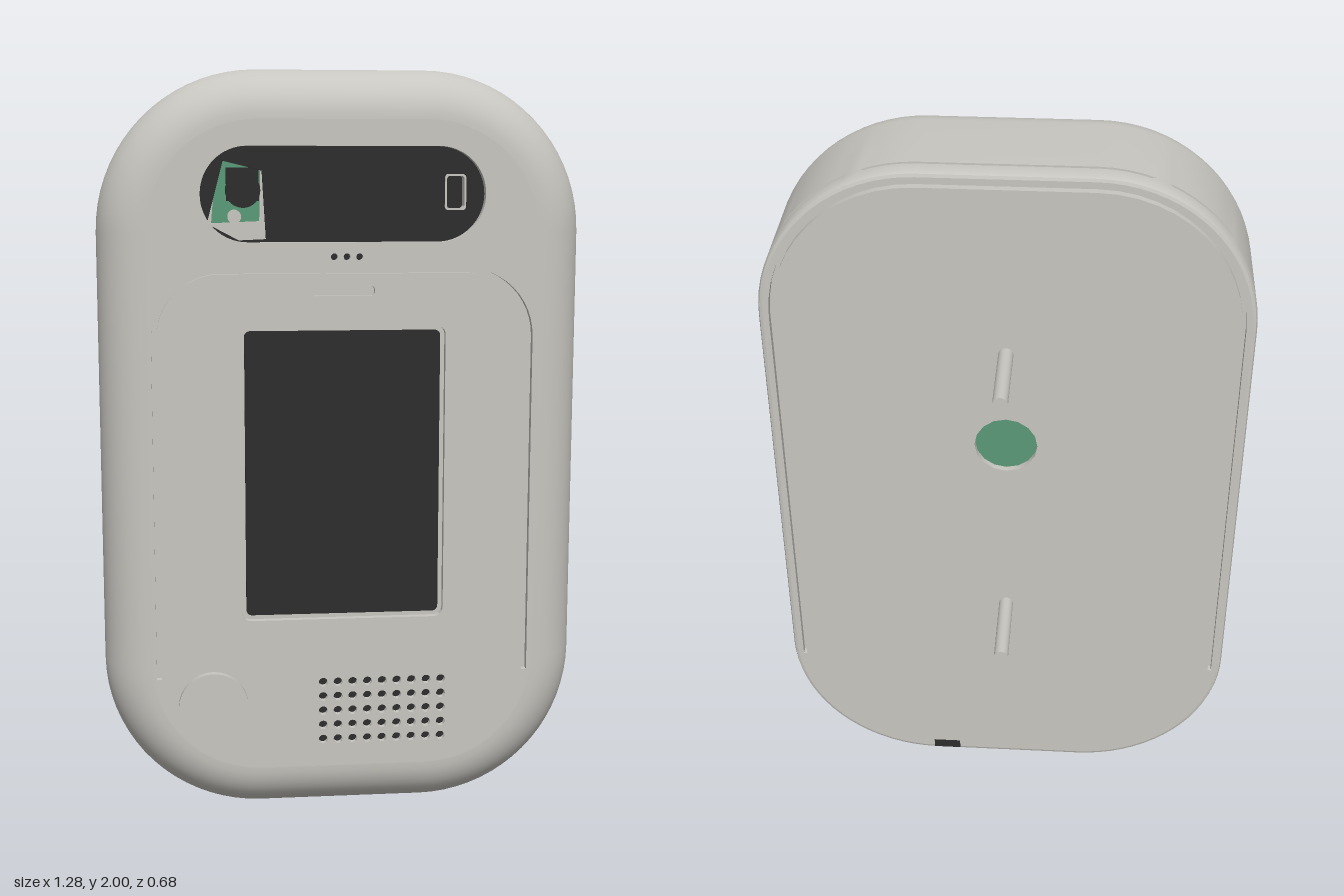
import * as THREE from 'three';
import { toCreasedNormals } from 'three/addons/utils/BufferGeometryUtils.js';

const mat = (name, color) => {
  const m = new THREE.MeshStandardMaterial({ color });
  m.name = name;
  return m;
};

// Body outline: rounded rectangle with 5 degree corner steps
const CX = 0.22, YLOW = 0.435, YHIGH = 1.58, R = 0.42, STEPS = 18;
const corners = [[CX, YHIGH], [-CX, YHIGH], [-CX, YLOW], [CX, YLOW]];

function ring(inset, grooveDepth = 0) {
  const pts = [];
  corners.forEach(([cx, cy], q) => {
    for (let s = 0; s <= STEPS; s++) {
      const local = (q % 2 ? STEPS - s : s) * 5; // 90 = top or bottom, 0 = side
      const inSlot = q < 2 ? local >= 75 || (local >= 40 && local <= 60) : local >= 40 && local <= 80;
      const r = R - inset - (inSlot ? grooveDepth : 0);
      const a = (q + s / STEPS) * Math.PI / 2;
      pts.push(new THREE.Vector2(cx + r * Math.cos(a), cy + r * Math.sin(a)));
    }
  });
  return pts;
}

// Side wall lofted from back to front; two flat strips are left open for vents
function shellGeometry() {
  const sections = [[-0.11, 0.012], [-0.107, 0.004], [-0.098, 0], [-0.06, 0], [-0.06, 0, 0.014],
    [-0.05, 0, 0.014], [-0.05, 0]];
  const ventSection = sections.length - 1;
  const fillet = 0.13;
  for (let i = 0; i <= 12; i++) {
    const a = i / 12 * Math.PI / 2;
    sections.push([0.19 + fillet * Math.sin(a), fillet * (1 - Math.cos(a))]);
  }
  const rings = sections.map(([z, inset, g]) => ring(inset, g).map(p => [p.x, p.y, z]));
  const n = rings[0].length, pos = [];
  const leftStrip = 2 * STEPS + 1, bottomStrip = 3 * STEPS + 2;
  for (let k = 0; k < rings.length - 1; k++) {
    for (let i = 0; i < n; i++) {
      if (k === ventSection && (i === leftStrip || i === bottomStrip)) continue;
      const j = (i + 1) % n;
      const a = rings[k][i], b = rings[k][j], c = rings[k + 1][j], d = rings[k + 1][i];
      pos.push(...a, ...b, ...c, ...a, ...c, ...d);
    }
  }
  const g = new THREE.BufferGeometry();
  g.setAttribute('position', new THREE.Float32BufferAttribute(pos, 3));
  return toCreasedNormals(g, 0.6);
}

// Rounded rectangle path centred on x, y
function roundRect(x, y, w, h, r, Type = THREE.Path) {
  const p = new Type(), a = w / 2 - r, b = h / 2 - r;
  p.absarc(x + a, y + b, r, 0, Math.PI / 2);
  p.absarc(x - a, y + b, r, Math.PI / 2, Math.PI);
  p.absarc(x - a, y - b, r, Math.PI, Math.PI * 1.5);
  p.absarc(x + a, y - b, r, Math.PI * 1.5, Math.PI * 2);
  p.closePath();
  return p;
}

const circle = (x, y, r) => new THREE.Path().absarc(x, y, r, 0, Math.PI * 2);

// Thin arch-shaped groove outline
function archGroove(x, top, bottom, r, width) {
  const arch = d => {
    const pts = [new THREE.Vector2(-x + d, bottom)];
    for (let i = 0; i <= 24; i++) {
      const a = Math.PI * (1 - i / 24);
      const side = i < 12 ? -1 : 1;
      if (i === 12) pts.push(new THREE.Vector2(-(x - r), top - d));
      pts.push(new THREE.Vector2(side * (x - r) + (r - d) * Math.cos(a), top - r + (r - d) * Math.sin(a)));
    }
    pts.push(new THREE.Vector2(x - d, bottom));
    return pts;
  };
  return new THREE.Path([...arch(0), ...arch(width).reverse()]);
}

const poly = pts => pts.map(p => new THREE.Vector2(...p));

export function createModel() {
  const model = new THREE.Group();
  const shell = mat('warm grey plastic', 0xc8c6c0);
  const black = mat('black panel', 0x2d2d2d);
  const green = mat('green circuit board', 0x5a9a78);

  const add = (name, geometry, material, x = 0, y = 0, z = 0) => {
    const m = new THREE.Mesh(geometry, material);
    m.name = name;
    m.position.set(x, y, z);
    model.add(m);
    return m;
  };
  const plate = (name, shape, holes, z, depth, material) => {
    shape.holes.push(...holes);
    const g = new THREE.ExtrudeGeometry(shape, { depth, bevelEnabled: false, curveSegments: 8 });
    return add(name, toCreasedNormals(g, 0.6), material, 0, 0, z);
  };
  const rod = (name, r, length, x, y, z, material) => {
    const m = add(name, new THREE.CylinderGeometry(r, r, length, 32), material, x, y, z);
    m.rotation.x = Math.PI / 2;
    return m;
  };

  add('shell', shellGeometry(), shell);

  // Front face with all its openings
  const pill = () => roundRect(0, 1.68, 0.74, 0.245, 0.122);
  const openings = [pill(), roundRect(-0.002, 0.948, 0.54, 0.785, 0.025),
    archGroove(0.5, 1.49, 0.4, 0.18, 0.013), roundRect(-0.002, 1.432, 0.165, 0.026, 0.01)];
  for (let i = -1; i <= 1; i++) openings.push(circle(0.008 + i * 0.033, 1.52, 0.009));
  for (let c = 0; c < 9; c++)
    for (let r = 0; r < 5; r++) openings.push(circle(-0.055 + c * 0.04, 0.22 + r * 0.04, 0.012));
  plate('frontFace', new THREE.Shape(ring(0.13)), openings, 0.3, 0.02, shell);
  plate('frontBacking', new THREE.Shape(ring(0.13)), [pill()], 0.295, 0.005, shell);
  plate('screen', roundRect(-0.002, 0.948, 0.515, 0.76, 0.015, THREE.Shape), [], 0.3, 0.008, black);
  plate('speakerBacking', roundRect(0.105, 0.3, 0.38, 0.22, 0.02, THREE.Shape), [], 0.3, 0.002, black);
  plate('microphoneBacking', roundRect(0.008, 1.52, 0.1, 0.03, 0.01, THREE.Shape), [], 0.3, 0.002, black);
  rod('button', 0.093, 0.03, -0.35, 0.325, 0.325, shell);

  // Dark camera window with a lens opening and a sensor opening
  const lensOpening = new THREE.Path(poly([[-0.31, 1.765], [-0.21, 1.74], [-0.2, 1.565], [-0.27, 1.562], [-0.352, 1.605]]));
  plate('cameraWindow', roundRect(0, 1.68, 0.76, 0.265, 0.13, THREE.Shape),
    [lensOpening, roundRect(0.295, 1.685, 0.058, 0.095, 0.01)], 0.285, 0.01, black);
  plate('sensorSleeve', roundRect(0.295, 1.685, 0.056, 0.093, 0.01, THREE.Shape),
    [roundRect(0.295, 1.685, 0.046, 0.083, 0.008)], 0.255, 0.038, shell);
  add('sensor', new THREE.BoxGeometry(0.07, 0.11, 0.01), black, 0.295, 1.685, 0.252);

  // Camera board behind the lens opening
  add('cameraBoard', new THREE.BoxGeometry(0.34, 0.32, 0.01), green, -0.27, 1.67, 0.235);
  add('cameraMount', new THREE.BoxGeometry(0.085, 0.085, 0.012), black, -0.258, 1.705, 0.245);
  rod('cameraLens', 0.045, 0.035, -0.258, 1.69, 0.262, black);
  plate('cameraBracket', new THREE.Shape(poly([[-0.4, 1.54], [-0.17, 1.54], [-0.17, 1.78], [-0.21, 1.78],
    [-0.215, 1.61], [-0.34, 1.605], [-0.325, 1.78], [-0.4, 1.78]])), [], 0.24, 0.01, shell);
  rod('cameraScrew', 0.018, 0.012, -0.28, 1.622, 0.248, shell);

  // Back face with rim groove and inspection hole
  plate('backFace', new THREE.Shape(ring(0.012)),
    [archGroove(0.612, 1.97, 0.4, 0.39, 0.01), circle(0, 1.2, 0.085)], -0.11, 0.02, shell);
  plate('backBacking', new THREE.Shape(ring(0.016)), [], -0.09, 0.005, shell);
  rod('inspectionBoard', 0.09, 0.006, 0, 1.2, -0.089, green);
  for (const y of [0.635, 1.49]) rod('mountingPin', 0.02, 0.23, 0, y, -0.225, shell);
  add('cableNotch', new THREE.BoxGeometry(0.08, 0.028, 0.008), black, 0.185, 0.038, -0.108);

  // Vent strips: flat panels with slits, filling the open parts of the shell
  const sideStrip = new THREE.Shape(poly([[-0.05, YLOW], [0.19, YLOW], [0.19, YHIGH], [-0.05, YHIGH]]));
  const sideSlits = [];
  for (const top of [1.43, 0.985])
    for (let i = 0; i < 6; i++) sideSlits.push(roundRect(0.07, top - i * 0.045, 0.13, 0.016, 0.007));
  const side = plate('sideVent', sideStrip, sideSlits, 0, 0.02, shell);
  side.rotation.y = -Math.PI / 2;
  side.position.set(-0.62, 0, 0);
  add('sideVentBacking', new THREE.BoxGeometry(0.006, 1.1, 0.22), shell, -0.617, 1.0, 0.07);

  const bottomStrip = new THREE.Shape(poly([[-CX, -0.05], [CX, -0.05], [CX, 0.19], [-CX, 0.19]]));
  const bottomSlits = [];
  for (let i = 0; i < 5; i++) bottomSlits.push(roundRect(-0.2 + i * 0.042, 0.07, 0.016, 0.12, 0.007));
  const bottom = plate('bottomVent', bottomStrip, bottomSlits, 0, 0.02, shell);
  bottom.rotation.x = Math.PI / 2;
  bottom.position.set(0, 0.035, 0);
  add('bottomVentBacking', new THREE.BoxGeometry(0.42, 0.006, 0.22), shell, 0, 0.038, 0.07);

  // Small foot under the body
  add('bottomTab', new THREE.CylinderGeometry(0.028, 0.028, 0.03, 24), shell, 0.058, 0.015, -0.04);

  return model;
}
